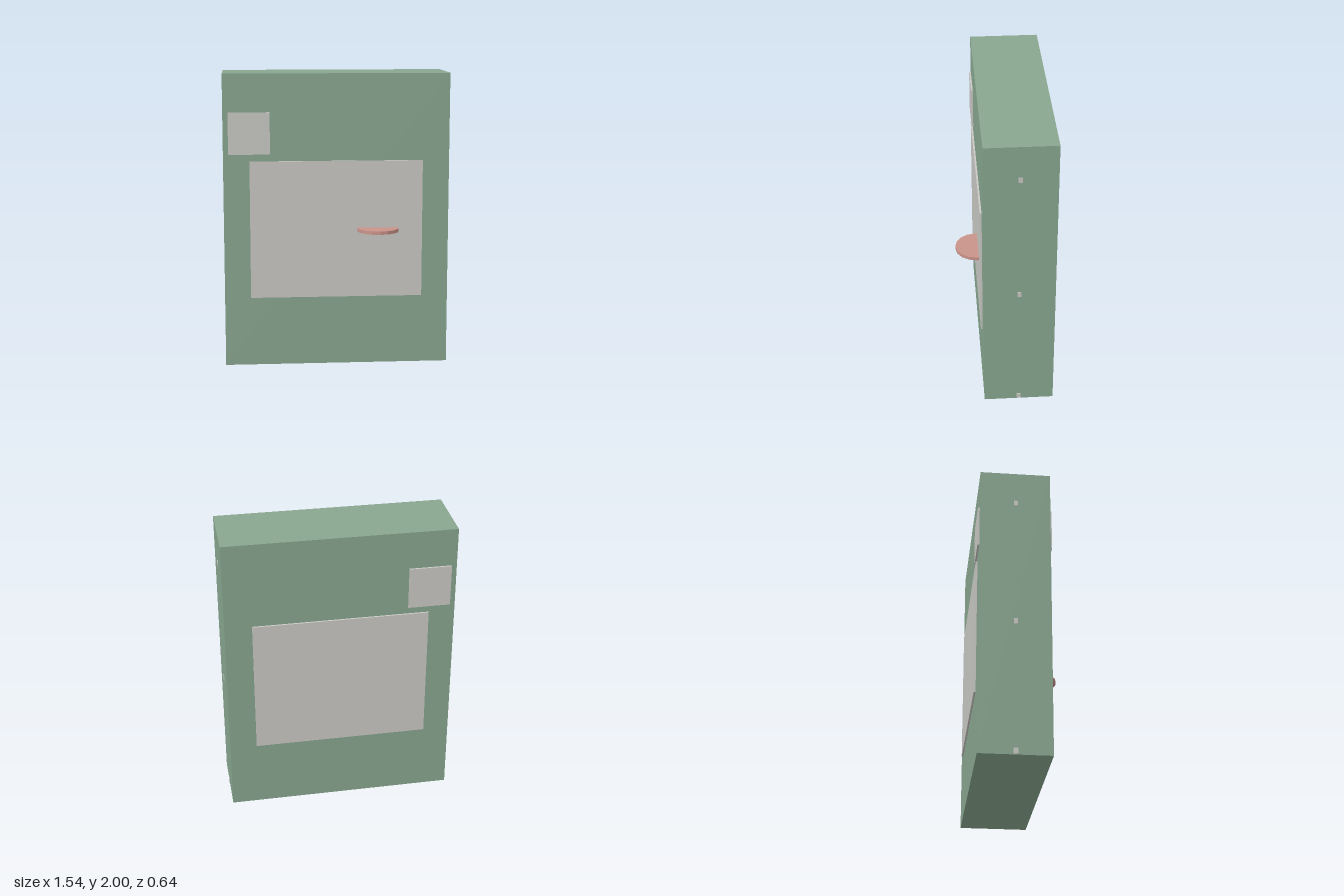
import * as THREE from 'three';

export function createModel() {
  const model = new THREE.Group();
  const mat = (name, color) => {
    const m = new THREE.MeshStandardMaterial({ color });
    m.name = name;
    return m;
  };
  const green = mat('sageGreen', 0x88a68f);
  const grey = mat('lightGrey', 0xc9c8c4);
  const pink = mat('dustyPink', 0xc9938a);

  // Box given by its minimum and maximum corners
  const addBox = (name, material, [x0, y0, z0], [x1, y1, z1]) => {
    const mesh = new THREE.Mesh(new THREE.BoxGeometry(x1 - x0, y1 - y0, z1 - z0), material);
    mesh.position.set((x0 + x1) / 2, (y0 + y1) / 2, (z0 + z1) / 2);
    mesh.name = name;
    model.add(mesh);
  };

  // Main slab
  const halfWidth = 0.765, back = -0.31, front = 0.157, raise = 0.012;
  addBox('body', green, [-halfWidth, 0, back], [halfWidth, 2, front]);

  // Raised panels, the same on front and back
  for (const [side, z0, z1] of [['front', front, front + raise], ['back', back - raise, back]]) {
    addBox(side + 'LargePanel', grey, [-0.588, 0.475, z0], [0.584, 1.413, z1]);
    addBox(side + 'SmallPanel', grey, [-0.73, 1.46, z0], [-0.45, 1.743, z1]);
  }

  // Round shelf, half sunk into the front panel
  const shelf = new THREE.Mesh(new THREE.CylinderGeometry(0.141, 0.141, 0.023, 16), pink);
  shelf.material.flatShading = true;
  shelf.position.set(0.28, 0.942, 0.18);
  shelf.name = 'shelf';
  model.add(shelf);

  // Small studs down both narrow sides
  for (const y of [0.024, 0.897, 1.769]) {
    addBox('leftStud', grey, [halfWidth - 0.01, y - 0.019, -0.087], [halfWidth + 0.004, y + 0.019, -0.06]);
    addBox('rightStud', grey, [-halfWidth - 0.004, y - 0.019, -0.087], [-halfWidth + 0.01, y + 0.019, -0.06]);
  }
  return model;
}
